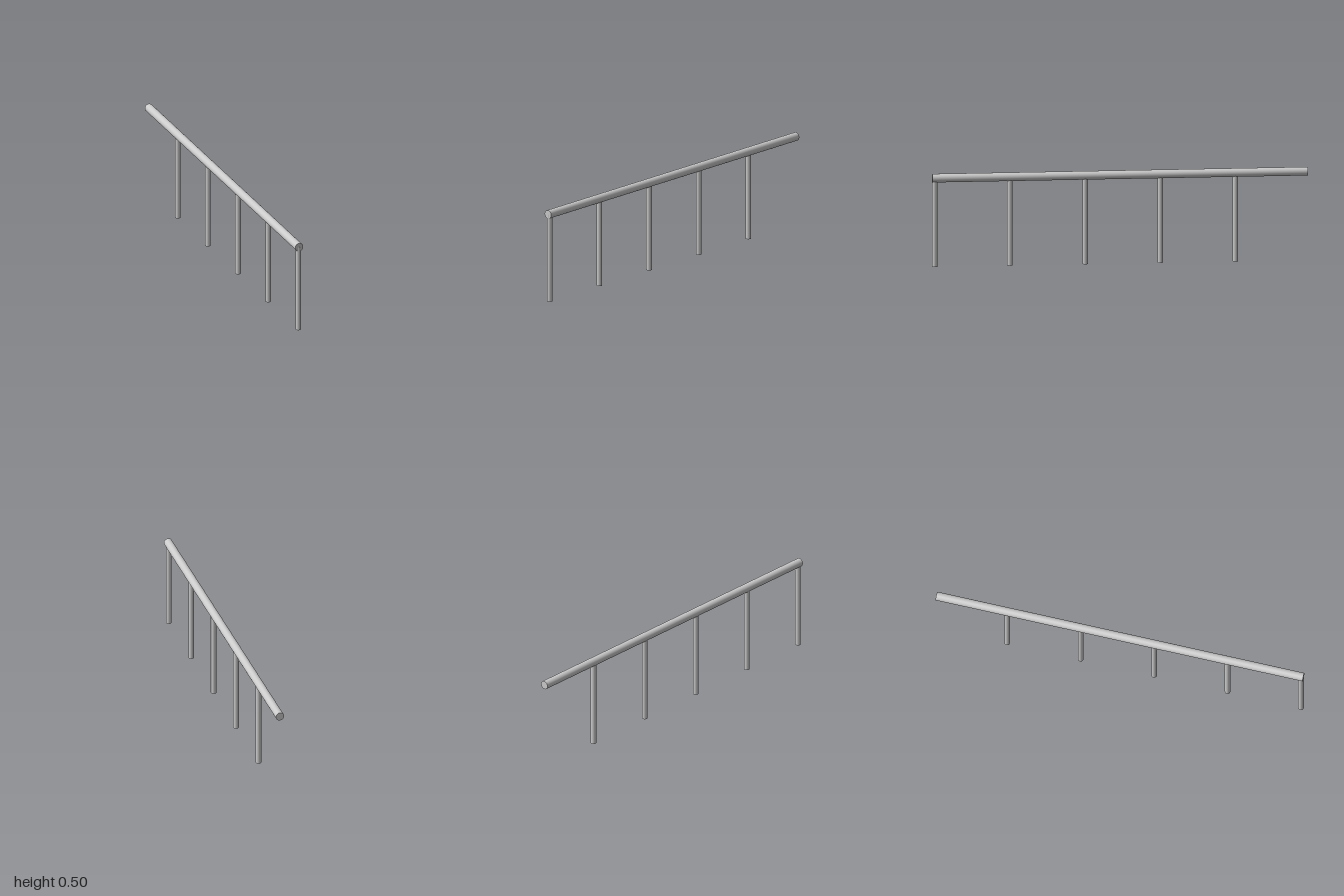
import * as THREE from 'three';

const RAIL_RADIUS = 0.023;
const RAIL_HEIGHT = 0.48;
const POST_RADIUS = 0.015;
const POST_COUNT = 5;
const POST_SPACING = 0.4;
const FIRST_POST_Z = 0.985;

export function createModel() {
  const group = new THREE.Group();
  group.name = 'handrail';
  const material = new THREE.MeshStandardMaterial({ color: 0xcccccc });

  // Round top rail running front to back
  const railGeometry = new THREE.CylinderGeometry(RAIL_RADIUS, RAIL_RADIUS, 1.9985, 20);
  railGeometry.rotateX(Math.PI / 2);
  const rail = new THREE.Mesh(railGeometry, material);
  rail.name = 'topRail';
  rail.position.set(0, RAIL_HEIGHT, -0.00075);
  group.add(rail);

  // Evenly spaced posts, from the front end to a short overhang at the back
  const postGeometry = new THREE.CylinderGeometry(POST_RADIUS, POST_RADIUS, RAIL_HEIGHT, 20);
  postGeometry.translate(0, RAIL_HEIGHT / 2, 0);
  for (let i = 0; i < POST_COUNT; i++) {
    const post = new THREE.Mesh(postGeometry, material);
    post.name = `post${i + 1}`;
    post.position.z = FIRST_POST_Z - i * POST_SPACING;
    group.add(post);
  }

  return group;
}
